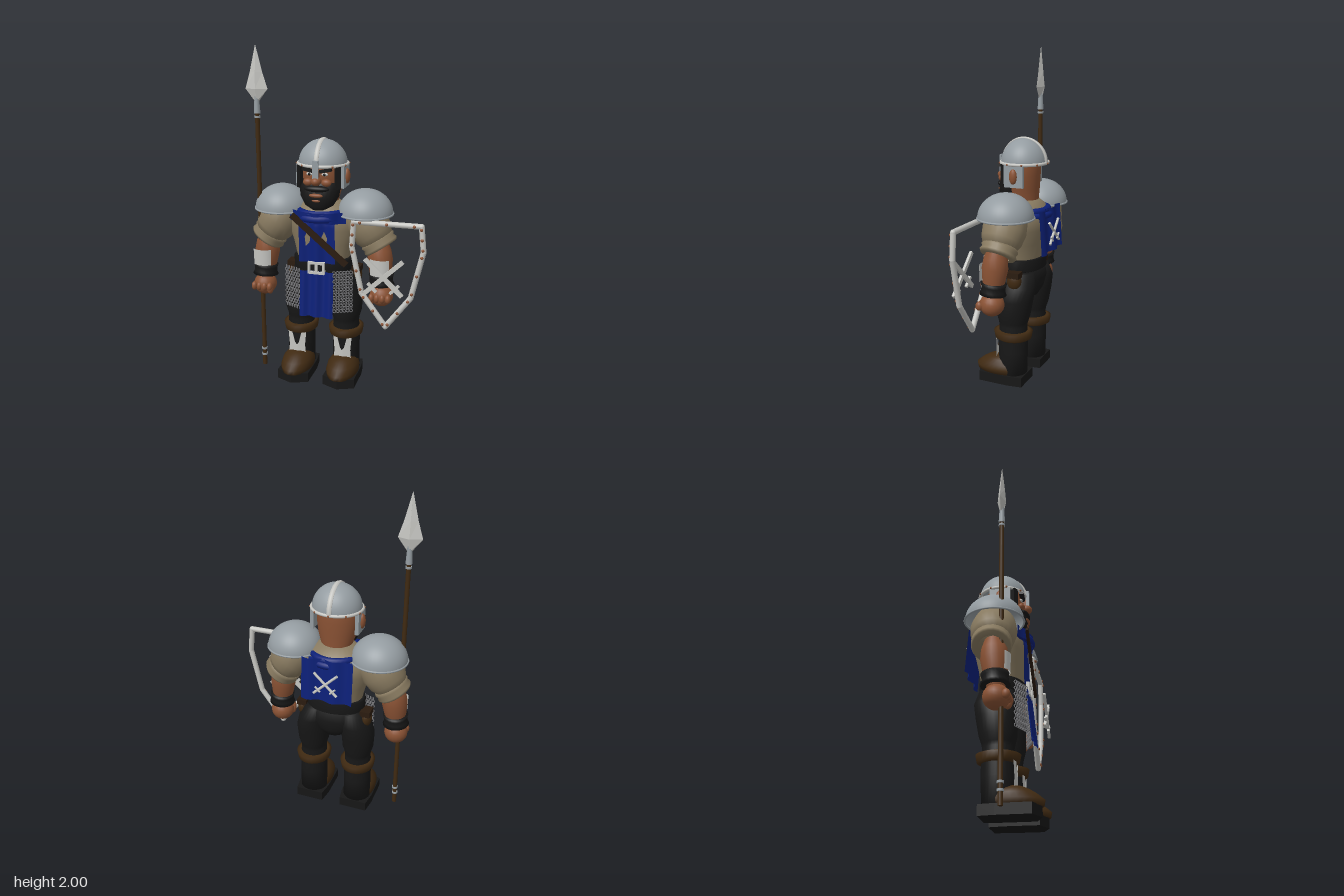
import * as THREE from 'three';
import { mergeGeometries } from 'three/addons/utils/BufferGeometryUtils.js';

const mat = (name, color) => {
  const m = new THREE.MeshStandardMaterial({ color, side: THREE.DoubleSide });
  m.name = name;
  return m;
};
const V = (x, y, z) => new THREE.Vector3(x, y, z);

export function createModel() {
  const steel = mat('steel', 0x949ca1), trim = mat('pale metal', 0xc6c6c2), blue = mat('blue cloth', 0x0c2078);
  const tunic = mat('tan tunic', 0x887a60), skin = mat('skin', 0x8a5234), black = mat('black cloth', 0x171717);
  const leather = mat('brown leather', 0x402a12), dark = mat('dark leather', 0x2a1b0f), mail = mat('chain mail', 0x77777a);
  const root = new THREE.Group(), body = new THREE.Group();
  root.name = 'guard';
  body.name = 'body';
  body.position.x = -0.0975;
  root.add(body);

  const add = (parent, name, geo, m, x = 0, y = 0, z = 0) => {
    const mesh = new THREE.Mesh(geo, m);
    mesh.name = name;
    mesh.position.set(x, y, z);
    parent.add(mesh);
    return mesh;
  };
  const box = (p, n, m, x, y, z, w, h, d) => add(p, n, new THREE.BoxGeometry(w, h, d), m, x, y, z);
  const ball = (p, n, m, x, y, z, rx, ry, rz) => add(p, n, new THREE.SphereGeometry(1, 20, 14).scale(rx, ry, rz), m, x, y, z);
  // Stack of elliptical sections [y, rx, rz, z, x], capped at both ends
  const loft = (rows, seg = 28) => {
    const pos = [], idx = [], n = rows.length;
    rows.forEach(([y, rx, rz, z = 0, x = 0]) => {
      for (let i = 0; i < seg; i++) {
        const a = i / seg * Math.PI * 2;
        pos.push(x + Math.sin(a) * rx, y, z + Math.cos(a) * rz);
      }
    });
    for (let r = 0; r < n - 1; r++) for (let i = 0; i < seg; i++) {
      const a = r * seg + i, b = r * seg + (i + 1) % seg;
      idx.push(a, b, b + seg, a, b + seg, a + seg);
    }
    for (let i = 1; i < seg - 1; i++) {
      const t = (n - 1) * seg;
      idx.push(0, i + 1, i, t, t + i, t + i + 1);
    }
    const g = new THREE.BufferGeometry();
    g.setAttribute('position', new THREE.Float32BufferAttribute(pos, 3));
    g.setIndex(idx);
    g.computeVertexNormals();
    return g;
  };
  // Turned profile [radius, fraction] running from a to b
  const limb = (p, n, m, a, b, profile, seg = 24) => {
    const d = b.clone().sub(a), len = d.length();
    const g = new THREE.LatheGeometry(profile.map(([r, t]) => new THREE.Vector2(r, t * len)), seg);
    const mesh = add(p, n, g, m, a.x, a.y, a.z);
    mesh.quaternion.setFromUnitVectors(V(0, 1, 0), d.normalize());
    return mesh;
  };
  const rod = (p, n, m, a, b, r, r2 = r) => limb(p, n, m, a, b, [[0, 0], [r, 0], [r, 0], [r2, 1], [r2, 1], [0, 1]], 12);
  const hoop = (p, n, m, y, z, rx, rz, tube) => {
    const g = new THREE.TorusGeometry(1, tube / rx, 8, 40).rotateX(Math.PI / 2).scale(rx, rx, rz);
    return add(p, n, g, m, 0, y, z);
  };
  // Draped sheet, depth given by a rule of (x, y)
  const cloth = (p, n, x0, x1, y0, y1, depth) => {
    const g = new THREE.PlaneGeometry(x1 - x0, y1 - y0, 20, 12).translate((x0 + x1) / 2, (y0 + y1) / 2, 0);
    const q = g.attributes.position;
    for (let i = 0; i < q.count; i++) q.setZ(i, depth(q.getX(i), q.getY(i)));
    g.computeVertexNormals();
    return add(p, n, g, blue);
  };
  const shapeOf = pts => new THREE.Shape(pts.map(([x, y]) => new THREE.Vector2(x, y)));

  // Torso, hips and belt
  add(body, 'torso', loft([[0.68, .155, .11, -.025], [.76, .16, .115, -.025], [.86, .185, .13, -.03], [.95, .215, .145, -.035],
    [1.02, .22, .145, -.035], [1.07, .17, .12, -.03], [1.12, .09, .085, -.02]]), tunic);
  add(body, 'hips', loft([[.52, .07, .07, -.04], [.57, .14, .1, -.04], [.64, .17, .115, -.04], [.72, .165, .115, -.025]]), black);
  add(body, 'belt', loft([[.695, .17, .125, -.022], [.7, .18, .132, -.022], [.765, .18, .132, -.022], [.77, .17, .125, -.022]]), black);
  for (const y of [.702, .762]) box(body, 'buckleBar', trim, 0, y, .125, .1, .014, .02);
  for (const x of [-.045, 0, .045]) box(body, 'buckleSide', trim, x, .732, .125, .014, .07, .02);

  // Tabard front, collar and back cape
  cloth(body, 'tabardTop', -.11, .11, .76, 1.05, (x, y) => .118 + .008 * Math.cos(x * 60) - (y > 1 ? (y - 1) * .3 : 0) - x * x);
  cloth(body, 'tabardSkirt', -.1, .105, .43, .71, (x, y) => .122 + (.71 - y) * .1 + .009 * Math.cos(x * 75));
  const mark = shapeOf([[0, .05], [.018, .01], [.012, -.045], [-.012, -.02], [-.016, .015]]);
  for (const s of [-1, 1]) {
    const m = add(body, 'tabardMark', new THREE.ShapeGeometry(mark), tunic, s * .05, .91, .129);
    m.scale.x = s;
  }
  hoop(body, 'collarLower', blue, 1.03, -.02, .155, .16, .022);
  hoop(body, 'collarUpper', blue, 1.055, -.02, .14, .145, .022);
  cloth(body, 'collarFlap', -.17, .17, 1.005, 1.07, x => .147 + .005 * Math.cos(x * 70) - x * x * 2.2);
  cloth(body, 'backCape', -.155, .155, .81, 1.07, (x, y) => -.205 + (y - .81) * .06 + .012 * Math.sin(x * 42) - .012 * (1.07 - y));
  for (const s of [-1, 1]) {
    rod(body, 'capeEmblemBar', trim, V(s * .07, .865, -.222), V(-s * .07, .995, -.216), .008);
    rod(body, 'capeEmblemGuard', trim, V(s * .03, .88, -.225), V(s * .06, .91, -.225), .006);
  }
  // Strap across the chest
  const strapGeo = new THREE.BoxGeometry(.43, .036, .014);
  add(body, 'chestStrap', strapGeo, dark, .02, .91, .137).rotation.z = -.7;

  // Chain mail hangings built from rings
  const rings = [];
  for (const s of [-1, 1]) for (let r = 0; r < 15; r++) for (let c = 0; c < 6; c++) {
    rings.push(new THREE.TorusGeometry(.0095, .0032, 4, 8).rotateY(s * .5 + (r % 2 ? .5 : -.5))
      .translate(s * (.108 + c * .0185), .468 + r * .0172, .122 - c * .008));
  }
  add(body, 'chainMail', mergeGeometries(rings), mail);

  // Head
  add(body, 'head', loft([[1.04, .085, .085, -.025], [1.12, .095, .09, -.02], [1.18, .113, .1, -.014], [1.26, .124, .11, -.008],
    [1.34, .122, .108, -.01], [1.37, .1, .09, -.015]]), skin);
  add(body, 'beard', loft([[1.075, .04, .035, .065], [1.1, .085, .062, .055], [1.15, .115, .08, .045],
    [1.21, .123, .084, .035], [1.235, .11, .07, .03]]), black);
  ball(body, 'moustache', black, 0, 1.205, .105, .075, .02, .03);
  ball(body, 'lips', skin, 0, 1.168, .122, .042, .012, .014);
  ball(body, 'chinPatch', skin, 0, 1.137, .116, .028, .009, .012);
  ball(body, 'nose', skin, 0, 1.25, .115, .03, .026, .035);
  box(body, 'noseBridge', skin, 0, 1.28, .1, .03, .06, .03);
  for (const s of [-1, 1]) {
    ball(body, 'eye', trim, s * .045, 1.288, .091, .02, .01, .012);
    ball(body, 'pupil', black, s * .045, 1.288, .1, .008, .008, .006);
    box(body, 'brow', black, s * .052, 1.312, .098, .07, .018, .026).rotation.z = s * .2;
    ball(body, 'cheek', skin, s * .055, 1.24, .095, .03, .022, .02);
    box(body, 'sideburn', black, s * .105, 1.265, .05, .03, .13, .055).rotation.y = s * .6;
    ball(body, 'ear', skin, s * .148, 1.265, -.018, .018, .045, .024);
    box(body, 'cheekGuard', steel, s * .134, 1.265, -.018, .022, .13, .12);
  }
  // Helmet
  const dome = (rx, ry, rz) => new THREE.SphereGeometry(1, 40, 16, 0, Math.PI * 2, 0, Math.PI / 2).scale(rx, ry, rz);
  add(body, 'helmet', dome(.145, .145, .137), steel, 0, 1.33, -.025);
  hoop(body, 'helmetRim', trim, 1.333, -.025, .147, .139, .0095);
  const ridge = new THREE.TorusGeometry(.14, .008, 6, 32, Math.PI).scale(1, 1.03, 1.9).rotateY(Math.PI / 2);
  add(body, 'helmetRidge', ridge, trim, 0, 1.33, -.025);
  box(body, 'noseGuard', steel, 0, 1.315, .125, .034, .11, .016);
  for (let i = 0; i < 10; i++) {
    const a = i / 10 * Math.PI * 2;
    ball(body, 'rimRivet', skin, Math.sin(a) * .155, 1.333, -.025 + Math.cos(a) * .147, .006, .006, .006);
  }

  const sole = shapeOf([[-.085, .11], [.085, .11], [.098, .02], [.098, -.165], [0, -.205], [-.098, -.165], [-.098, .02]]);
  const greave = shapeOf([[-.058, .29], [-.03, .285], [-.012, .215], [0, .2], [.012, .215], [.03, .285], [.058, .29],
    [.05, .2], [.055, .13], [0, .12], [-.055, .13], [-.05, .2]]);
  for (const s of [-1, 1]) {
    // Leg and boot
    const leg = new THREE.Group();
    leg.name = s > 0 ? 'leftLeg' : 'rightLeg';
    leg.position.x = s * .145;
    body.add(leg);
    add(leg, 'trouserLeg', loft([[.05, .085, .085, -.02], [.2, .083, .09, -.02], [.29, .085, .09, -.02], [.36, .078, .085, -.02],
      [.385, .08, .09, -.02], [.43, .094, .103, -.022], [.53, .1, .113, -.03], [.61, .09, .12, -.036, -s * .01],
      [.69, .07, .1, -.035, -s * .03]]), black);
    add(leg, 'bootCuff', loft([[.275, .088, .095, -.02], [.285, .1, .112, -.02], [.325, .107, .12, -.02], [.332, .09, .1, -.02]]), leather);
    const g = new THREE.ShapeGeometry(greave), q = g.attributes.position;
    for (let i = 0; i < q.count; i++) q.setZ(i, .082 - 4 * q.getX(i) ** 2);
    g.computeVertexNormals();
    add(leg, 'greave', g, trim);
    const soleGeo = new THREE.ExtrudeGeometry(sole, { depth: .058, bevelEnabled: false }).rotateX(-Math.PI / 2);
    add(leg, 'sole', soleGeo, black);
    add(leg, 'bootFoot', loft([[.055, .094, .16, .055], [.085, .097, .163, .058], [.115, .09, .135, .05],
      [.14, .07, .095, .05], [.155, .045, .055, .055], [.16, .01, .01, .06]]), leather);

    // Arm
    const arm = new THREE.Group();
    arm.name = s > 0 ? 'leftArm' : 'rightArm';
    body.add(arm);
    limb(arm, 'sleeve', tunic, V(s * .2, 1.09, -.03), V(s * .35, .87, -.02),
      [[0, 0], [.08, .02], [.115, .2], [.128, .5], [.118, .75], [.09, .96], [0, 1]]);
    limb(arm, 'sleeveCuff', tunic, V(s * .325, .9, -.025), V(s * .362, .845, -.02),
      [[.085, 0], [.1, .03], [.109, .25], [.1, .48], [.109, .75], [.1, .97], [.07, 1]]);
    limb(arm, 'forearm', skin, V(s * .345, .89, -.01), V(s * .37, .6, .008),
      [[.05, 0], [.07, .2], [.076, .4], [.066, .65], [.052, .9], [.04, 1]]);
    limb(arm, 'wristBand', black, V(s * .364, .69, 0), V(s * .368, .62, .005),
      [[.05, 0], [.075, .03], [.07, .3], [.07, .7], [.078, .97], [.05, 1]]);
    const plate = new THREE.CylinderGeometry(.083, .08, .1, 16, 1, true, -.75, 1.5);
    add(arm, 'bracerPlate', plate, trim, s * .365, .745, 0);
    ball(arm, 'fist', skin, s * .37, .56, .01, .07, .068, .072);
    for (let i = 0; i < 4; i++) ball(arm, 'finger', skin, s * .37 + (i - 1.5) * .033, .557, .068, .018, .027, .022);
    ball(arm, 'thumb', skin, s * .32, .545, .06, .02, .034, .024);

    // Shoulder guard and hip pouch
    add(body, 'shoulderGuard', dome(.163, .145, .163), steel, s * .258, 1.048, -.025);
    hoop(body, 'shoulderRim', steel, 1.048, -.025, .163, .163, .006).position.x = s * .258;
    ball(body, 'pouch', leather, s * .2, .655, -.05, .034, .055, .045);
    box(body, 'pouchFlap', dark, s * .2, .695, -.05, .06, .035, .08);
  }

  // Spear
  const spear = new THREE.Group();
  spear.name = 'spear';
  spear.position.set(-.477, 0, .035);
  root.add(spear);
  rod(spear, 'shaft', leather, V(0, .012, 0), V(0, 1.64, 0), .0135);
  rod(spear, 'socket', steel, V(0, 1.615, 0), V(0, 1.72, 0), .019, .013);
  for (const y of [.085, .125, 1.595, 1.62]) rod(spear, 'ferrule', steel, V(0, y - .006, 0), V(0, y + .006, 0), .018);
  const blade = loft([[1.68, .01, .01], [1.755, .068, .025], [1.85, .038, .017], [2, .001, .001]], 4).toNonIndexed();
  blade.computeVertexNormals();
  add(spear, 'blade', blade, trim);

  // Open shield frame with rivets and crossed bars
  const shield = new THREE.Group();
  shield.name = 'shield';
  root.add(shield);
  const rim = [[.125, 1.03], [.515, 1.03], [.53, .88], [.465, .6], [.32, .405], [.175, .6], [.115, .88]].map(([x, y]) => V(x, y, .115));
  rim.forEach((a, i) => {
    const b = rim[(i + 1) % rim.length];
    rod(shield, 'frameBar', trim, a, b, .0165);
    ball(shield, 'frameCorner', trim, a.x, a.y, a.z, .0165, .0165, .0165);
    for (const t of [.1, .5, .9]) {
      const c = a.clone().lerp(b, t);
      ball(shield, 'rivet', skin, c.x, c.y, .131, .009, .009, .007);
    }
  });
  for (const s of [-1, 1]) {
    const bar = box(shield, 'crossBar', trim, .315, .73, .174, .3, .025, .016);
    bar.rotation.z = s * .76;
    const guard = box(shield, 'crossGuard', trim, .315 + s * .065, .665, .176, .07, .016, .016);
    guard.rotation.z = s * .8;
  }
  return root;
}
